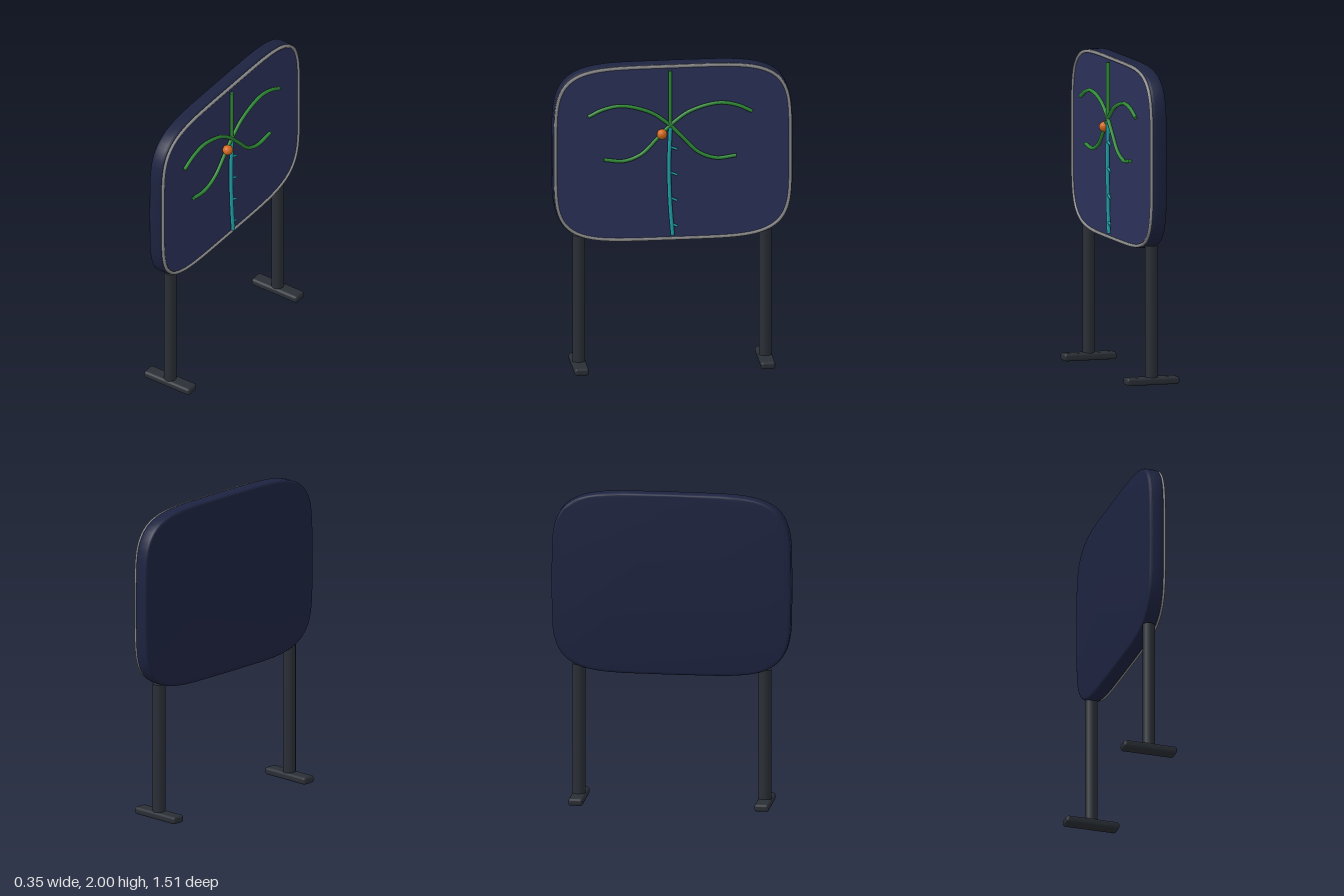
import * as THREE from 'three';
import { toCreasedNormals } from 'three/addons/utils/BufferGeometryUtils.js';
import { RoundedBoxGeometry } from 'three/addons/geometries/RoundedBoxGeometry.js';

const MID_Y = 1.417, HALF_W = 0.757, HALF_H = 0.583;
const mat = (color) => new THREE.MeshStandardMaterial({ color });

// Squarish superellipse outline of the board, shrunk by an inset
function outline(inset) {
  const pts = [];
  const p = (v) => Math.sign(v) * Math.abs(v) ** 0.41;
  for (let i = 0; i < 56; i++) {
    const t = (i / 56) * Math.PI * 2;
    pts.push(new THREE.Vector2((HALF_W - inset) * p(Math.cos(t)), (HALF_H - inset) * p(Math.sin(t))));
  }
  return pts;
}

export function createModel() {
  const model = new THREE.Group();
  const navy = mat(0x1d2340), panelBlue = mat(0x2b3159), steel = mat(0x2a2f36);
  const grey = mat(0x8c8c8c), green = mat(0x2f8a38), teal = mat(0x1f9fa8), orange = mat(0xd2691e);

  const add = (name, geometry, material, parent = model) => {
    const mesh = new THREE.Mesh(geometry, material);
    mesh.name = name;
    parent.add(mesh);
    return mesh;
  };

  // Board slab with bevelled edges, facing +x
  const bevel = 0.016, thick = 0.094;
  const slab = new THREE.ExtrudeGeometry(new THREE.Shape(outline(bevel)), {
    depth: thick - 2 * bevel, bevelEnabled: true, bevelSize: bevel, bevelThickness: bevel, bevelSegments: 3,
  });
  slab.translate(0, 0, bevel - thick / 2).rotateY(Math.PI / 2);
  add('board', toCreasedNormals(slab, 0.6), navy).position.y = MID_Y;

  // Display face inside the rim
  const face = new THREE.ShapeGeometry(new THREE.Shape(outline(0.016))).rotateY(Math.PI / 2);
  add('displayFace', face, panelBlue).position.set(0.051, MID_Y, 0);

  // Rim bead around the face
  const rimPath = new THREE.CatmullRomCurve3(
    outline(0.016).map((p) => new THREE.Vector3(0.052, MID_Y + p.y, p.x)), true);
  add('rim', new THREE.TubeGeometry(rimPath, 160, 0.011, 6, true), grey);

  // Raised line: points are [z, y], lying just off the face, with capped ends
  const line = (name, pts, radius, material, x = 0.073) => {
    const group = new THREE.Group();
    group.name = name;
    model.add(group);
    const path = new THREE.CatmullRomCurve3(pts.map(([z, y]) => new THREE.Vector3(x, y, z)));
    add(name + 'Tube', new THREE.TubeGeometry(path, pts.length * 8, radius, 8, false), material, group);
    for (const t of [0, 1]) {
      const cap = add(name + 'End', new THREE.CircleGeometry(radius, 8), material, group);
      cap.position.copy(path.getPoint(t));
      cap.lookAt(cap.position.clone().addScaledVector(path.getTangent(t), t ? 1 : -1));
    }
  };

  // Green branches, mirrored about the stem
  const stemZ = 0.02;
  line('upperStem', [[stemZ, 1.96], [stemZ, 1.6]], 0.012, green);
  const upper = [[0, 1.605], [0.12, 1.69], [0.3, 1.74], [0.42, 1.722], [0.517, 1.677]];
  const lower = [[0, 1.605], [0.085, 1.515], [0.18, 1.42], [0.29, 1.378], [0.418, 1.39]];
  for (const [side, s] of [['left', -1], ['right', 1]]) {
    const place = (pts) => pts.map(([z, y]) => [stemZ + s * z, y]);
    line(side + 'UpperBranch', place(upper), 0.012, green);
    line(side + 'LowerBranch', place(lower), 0.012, green);
  }

  // Teal trunk line with short spurs
  line('trunkLine', [[0.018, 1.59], [0.026, 1.4], [0.025, 1.2], [0.017, 1.04], [0.004, 0.88]], 0.013, teal);
  for (let i = 0; i < 4; i++) {
    const y = 1.46 - i * 0.169;
    line('spur' + (i + 1), [[0.018 - i * 0.003, y], [-0.025, y - 0.018]], 0.008, teal);
  }

  // Marker ball
  add('marker', new THREE.SphereGeometry(0.033, 16, 12), orange).position.set(0.079, 1.547, 0.072);

  // Posts and feet
  for (const [side, s] of [['front', 1], ['back', -1]]) {
    add(side + 'Post', new THREE.CylinderGeometry(0.04, 0.04, 0.85, 16), steel).position.set(0, 0.455, s * 0.588);
    add(side + 'Foot', new RoundedBoxGeometry(0.35, 0.048, 0.092, 2, 0.017), steel).position.set(0, 0.024, s * 0.588);
  }

  return model;
}
